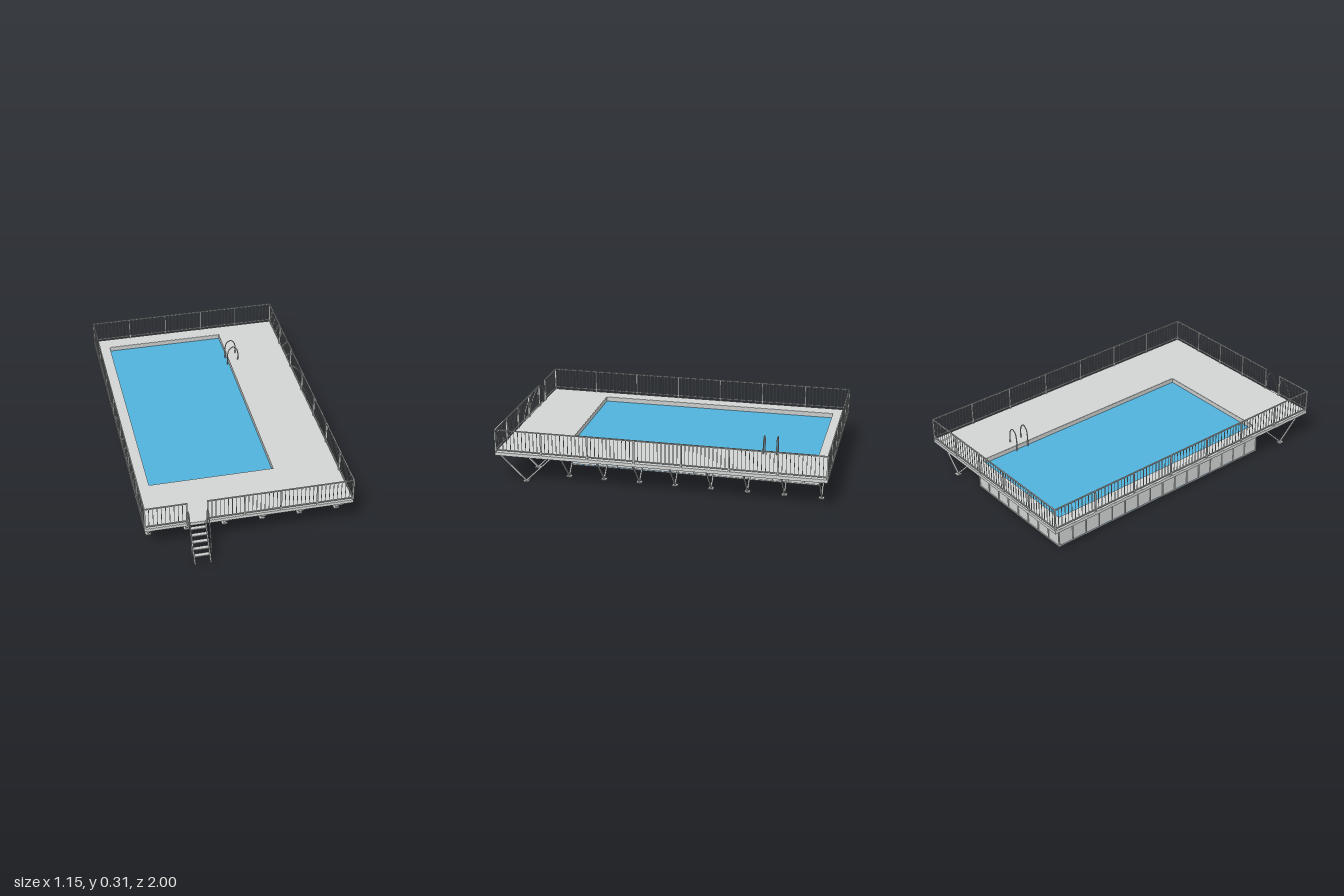
import * as THREE from 'three';
import { mergeGeometries } from 'three/addons/utils/BufferGeometryUtils.js';

const mat = (name, color) => {
  const m = new THREE.MeshStandardMaterial({ color });
  m.name = name;
  return m;
};

// Plan rectangles: [x0, x1, z0, z1]
const DECK = [-0.573, 0.573, -1, 0.855];
const POOL = [-0.486, 0.217, -0.911, 0.497];
const WALL = [-0.5, 0.231, -0.924, 0.515];
const inset = ([a, b, c, d], t) => [a + t, b - t, c + t, d - t];

export function createModel() {
  const model = new THREE.Group();
  model.name = 'raisedPool';
  const deckGrey = mat('deck grey', 0xd1d4d3);
  const wallGrey = mat('wall grey', 0xd0d3d2);
  const steel = mat('steel', 0xc9cccb);
  const water = mat('water blue', 0x51b2dc);
  const navy = mat('floor blue', 0x2570b5);

  const add = (name, geometry, material) => {
    const mesh = new THREE.Mesh(geometry, material);
    mesh.name = name;
    model.add(mesh);
    return mesh;
  };
  const box = (x0, x1, y0, y1, z0, z1) =>
    new THREE.BoxGeometry(x1 - x0, y1 - y0, z1 - z0)
      .translate((x0 + x1) / 2, (y0 + y1) / 2, (z0 + z1) / 2);
  const block = (x, y, z, w, h, d) => new THREE.BoxGeometry(w, h, d).translate(x, y, z);

  // Square bar between two points
  const strut = (a, b, w) => {
    const p = new THREE.Vector3(...a), q = new THREE.Vector3(...b);
    const dir = q.clone().sub(p);
    const turn = new THREE.Quaternion().setFromUnitVectors(
      new THREE.Vector3(0, 1, 0), dir.clone().normalize());
    const mid = p.add(q).multiplyScalar(0.5);
    return new THREE.BoxGeometry(w, dir.length(), w).applyQuaternion(turn).translate(mid.x, mid.y, mid.z);
  };

  // Rectangular frame standing between two heights
  const corners = ([x0, x1, z0, z1]) =>
    [[x0, -z1], [x1, -z1], [x1, -z0], [x0, -z0]].map(p => new THREE.Vector2(...p));
  const ring = (outer, inner, y0, y1) => {
    const shape = new THREE.Shape(corners(outer));
    shape.holes.push(new THREE.Path(corners(inner).reverse()));
    return new THREE.ExtrudeGeometry(shape, { depth: y1 - y0, bevelEnabled: false })
      .rotateX(-Math.PI / 2).translate(0, y0, 0);
  };

  // Deck and its edge beam
  add('deck', ring(inset(DECK, 0.001), POOL, 0.17, 0.177), deckGrey);
  add('deckEdge', ring(DECK, inset(DECK, 0.011), 0.158, 0.176), deckGrey);

  // Basin
  add('poolWalls', ring(WALL, inset(WALL, 0.012), 0.002, 0.17), wallGrey);
  add('poolRim', ring(inset(POOL, -0.003), inset(POOL, 0.001), 0.12, 0.175), steel);
  const [wx0, wx1, wz0, wz1] = WALL;
  add('poolFloor', box(wx0, wx1, 0, 0.008, wz0, wz1), navy);
  const [px0, px1, pz0, pz1] = POOL;
  add('water', box(px0, px1, 0.142, 0.15, pz0, pz1), water);

  // Wall panel flanges
  const flanges = [
    ring(inset(WALL, -0.005), WALL, 0.001, 0.006),
    ring(inset(WALL, -0.005), WALL, 0.154, 0.16),
  ];
  for (let i = 0; i <= 8; i++) {
    const x = wx0 + (wx1 - wx0) * i / 8;
    for (const z of [wz0 - 0.001, wz1 + 0.001]) flanges.push(block(x, 0.081, z, 0.005, 0.158, 0.008));
  }
  for (let i = 0; i <= 16; i++) {
    const z = wz0 + (wz1 - wz0) * i / 16;
    for (const x of [wx0 - 0.001, wx1 + 0.001]) flanges.push(block(x, 0.081, z, 0.008, 0.158, 0.005));
  }
  // Extruded frames have no index, so drop it everywhere before merging
  add('wallFlanges', mergeGeometries(flanges.map(g => (g.index ? g.toNonIndexed() : g))), wallGrey);

  // V-shaped supports under the wide right and front strips
  const supports = [], joists = [], brackets = [];
  const sideZ = Array.from({ length: 8 }, (_, i) => 0.475 - i * 0.2043);
  const frontX = Array.from({ length: 6 }, (_, i) => -0.53 + i * 0.212);
  for (const z of sideZ) {
    supports.push(
      strut([0.41, 0.006, z], [0.56, 0.158, z], 0.008),
      strut([0.41, 0.006, z], [0.255, 0.158, z], 0.008),
      block(0.41, 0.004, z, 0.03, 0.006, 0.03),
      box(0.236, 0.56, 0.154, 0.17, z - 0.006, z + 0.006));
  }
  for (const x of frontX) {
    supports.push(
      strut([x, 0.006, 0.69], [x, 0.158, 0.85], 0.008),
      strut([x, 0.006, 0.69], [x, 0.158, 0.535], 0.008),
      block(x, 0.004, 0.69, 0.03, 0.006, 0.03),
      box(x - 0.006, x + 0.006, 0.154, 0.17, 0.52, 0.845));
  }
  add('supports', mergeGeometries(supports), steel);

  // Wide joists under the deck
  for (let i = 0; i < 21; i++) {
    const z = -0.96 + i * 0.0715;
    joists.push(box(0.236, 0.562, 0.16, 0.17, z - 0.014, z + 0.014));
  }
  for (let i = 0; i < 5; i++) {
    const z = 0.55 + i * 0.068;
    joists.push(box(-0.562, 0.562, 0.16, 0.17, z - 0.014, z + 0.014));
  }
  add('joists', mergeGeometries(joists), steel);

  // Small brackets under the narrow left and back strips
  for (const z of sideZ.slice(0, 7)) {
    brackets.push(
      strut([-0.505, 0.132, z], [-0.535, 0.158, z], 0.007),
      box(-0.56, -0.5, 0.157, 0.17, z - 0.006, z + 0.006));
  }
  for (const x of frontX.slice(0, 4)) {
    brackets.push(
      strut([x + 0.04, 0.132, -0.927], [x + 0.04, 0.158, -0.957], 0.007),
      box(x + 0.034, x + 0.046, 0.157, 0.17, -0.99, -0.922));
  }
  add('brackets', mergeGeometries(brackets), steel);

  // Railing run with posts, two rails and thin balusters
  const railing = (name, [xa, za], [xb, zb], spans, perSpan) => {
    const parts = [];
    const count = spans * perSpan;
    for (let i = 0; i <= count; i++) {
      const x = xa + (xb - xa) * i / count, z = za + (zb - za) * i / count;
      const post = i % perSpan === 0, w = post ? 0.008 : 0.003;
      parts.push(block(x, post ? 0.241 : 0.25, z, w, post ? 0.138 : 0.118, w));
    }
    for (const y of [0.191, 0.308]) parts.push(strut([xa, y, za], [xb, y, zb], 0.006));
    add(name, mergeGeometries(parts), steel);
  };
  railing('leftRailing', [0.569, -0.996], [0.569, 0.851], 7, 12);
  railing('rightRailing', [-0.569, -0.996], [-0.569, 0.851], 7, 12);
  railing('backRailing', [-0.569, -0.996], [0.569, -0.996], 5, 10);
  railing('frontRailingShort', [-0.569, 0.851], [-0.344, 0.851], 1, 10);
  railing('frontRailingLong', [-0.231, 0.851], [0.569, 0.851], 4, 9);

  // Smooth bent handrail
  const tube = (name, points) => add(name, new THREE.TubeGeometry(
    new THREE.CatmullRomCurve3(points.map(p => new THREE.Vector3(...p))), 32, 0.0033, 8), steel);

  // Entry stairs with handrails
  const stairs = [];
  for (const x of [-0.331, -0.245]) {
    for (const dz of [0, 0.009]) stairs.push(strut([x, 0.008, 0.996 - dz], [x, 0.172, 0.865 - dz], 0.007));
  }
  for (let i = 0; i < 5; i++) {
    const y = 0.04 + i * 0.029;
    stairs.push(block(-0.288, y, 0.992 - 0.125 * (y / 0.17), 0.086, 0.006, 0.022));
  }
  add('stairs', mergeGeometries(stairs), steel);
  for (const [name, x] of [['stairHandrailRight', -0.341], ['stairHandrailLeft', -0.236]]) {
    tube(name, [[x, 0.05, 0.965], [x, 0.11, 0.955], [x, 0.17, 0.938], [x, 0.23, 0.912],
      [x, 0.268, 0.888], [x, 0.265, 0.868], [x, 0.235, 0.86], [x, 0.17, 0.86]]);
  }

  // Grab rails at the water's edge
  for (const [name, z] of [['grabRailBack', -0.682], ['grabRailFront', -0.607]]) {
    tube(name, [[0.27, 0.176, z], [0.27, 0.225, z], [0.26, 0.258, z], [0.239, 0.273, z],
      [0.216, 0.258, z], [0.206, 0.225, z], [0.205, 0.145, z]]);
  }
  return model;
}
